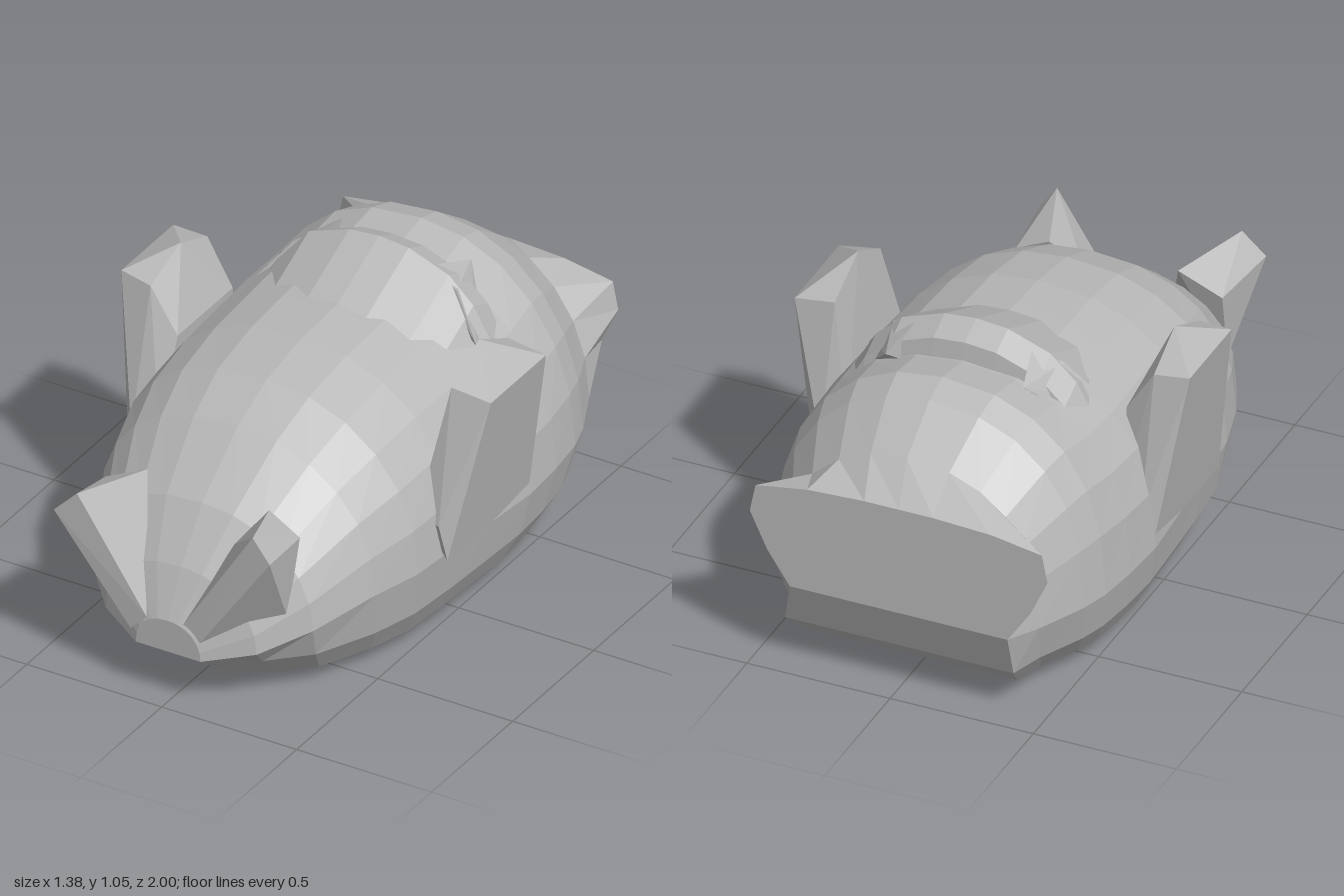
import * as THREE from 'three';
import { ConvexGeometry } from 'three/addons/geometries/ConvexGeometry.js';

const grey = new THREE.MeshStandardMaterial({ color: 0xb8b8b8 });
grey.name = 'plain grey';

// Joins closed rings of equal point count into a faceted solid with capped ends.
function loft(rings) {
  const n = rings[0].length;
  const index = [];
  const quad = (a, b, c, d) => {
    if (a !== b && b !== c && a !== c) index.push(a, b, c);
    if (a !== c && c !== d && a !== d) index.push(a, c, d);
  };
  for (let i = 0; i < rings.length - 1; i++) {
    for (let j = 0; j < n; j++) {
      const k = (j + 1) % n;
      quad(i * n + j, (i + 1) * n + j, (i + 1) * n + k, i * n + k);
    }
  }
  const last = (rings.length - 1) * n;
  for (let j = 0; j < n / 2; j++) {
    const a = j, b = j + 1, c = (n - j - 1) % n, d = (n - j) % n;
    quad(a, b, c, d);
    quad(last + d, last + c, last + b, last + a);
  }
  const geometry = new THREE.BufferGeometry();
  geometry.setAttribute('position', new THREE.Float32BufferAttribute(rings.flat(2), 3));
  geometry.setIndex(index);
  const flat = geometry.toNonIndexed();
  flat.computeVertexNormals();
  return flat;
}

function addMesh(group, name, geometry) {
  const mesh = new THREE.Mesh(geometry, grey);
  mesh.name = name;
  group.add(mesh);
}

// Adds a convex faceted part; side is 1 for left (+x), -1 for right.
function addFaceted(group, name, side, points) {
  const corners = points.map(([x, y, z]) => new THREE.Vector3(x * side, y, z));
  addMesh(group, name, new ConvexGeometry(corners));
}

// Body stations from nose to tail: z, half width, height of widest line, top
const stations = [
  [0.96, 0.12, 0.185, 0.30], [0.88, 0.28, 0.22, 0.46], [0.75, 0.41, 0.28, 0.63],
  [0.53, 0.51, 0.33, 0.80], [0.35, 0.56, 0.33, 0.88], [0.13, 0.58, 0.33, 0.92],
  [-0.06, 0.59, 0.32, 0.93], [-0.28, 0.60, 0.31, 0.94], [-0.45, 0.59, 0.31, 0.95],
  [-0.60, 0.57, 0.31, 0.98], [-0.70, 0.54, 0.31, 0.95], [-0.87, 0.46, 0.31, 0.83],
  [-1.00, 0.42, 0.33, 0.72],
];
// Underside levels: y, z scale, width scale
const levels = [[0, 0.63, 0.64], [0.06, 0.82, 0.86], [0.16, 0.93, 0.95]];
// Flared upper outline of the flat tail face
const tail = [[0.38, 0.33], [0.46, 0.45], [0.52, 0.58], [0.50, 0.68], [0.32, 0.71], [0.12, 0.72], [0, 0.72]];

// One side of a body section, from the underside up to the crown
function halfRing([z, w, yb, top], isTail, side) {
  const power = side > 0 ? 0.95 : 0.84;
  const points = levels.map(([y, sz, sw]) => [side * w * sw, y, z * sz]);
  for (let j = 0; j <= 6; j++) {
    const a = (j / 6) * Math.PI / 2;
    const x = j === 6 ? 0 : side * w * Math.pow(Math.cos(a), power);
    const y = yb + (top - yb) * Math.pow(Math.sin(a), power);
    points.push(isTail ? [side * tail[j][0] - 0.03, tail[j][1], z] : [x, y, z]);
  }
  return points;
}

function bodyRing(station, i) {
  const isTail = i === stations.length - 1;
  const right = halfRing(station, isTail, -1).slice(0, -1).reverse();
  return [[0, 0, station[0] * levels[0][1]], ...halfRing(station, isTail, 1), ...right];
}

export function createModel() {
  const model = new THREE.Group();
  model.name = 'roundedBody';

  addMesh(model, 'body', loft(stations.map(bodyRing)));

  // Back crest: a long slope rising to a narrow arched ledge
  const arch = [[0.43, 0.76], [0.35, 0.90], [0.26, 0.985], [0.11, 1.04], [0, 1.05]];
  const fullArch = [...arch.map(([x, y]) => [-x, y]), ...arch.slice(0, -1).reverse()];
  addMesh(model, 'backCrest', loft(fullArch.map(([x, y]) => [
    [x, y - 0.15, -0.45], [x, y - 0.13, -0.06], [x, y, -0.34], [x, y - 0.04, -0.43],
  ])));

  // Pointed corners of the crest
  for (const [name, side] of [['left', 1], ['right', -1]]) {
    addFaceted(model, name + 'CrestSpike', side, [
      [0.20, 1.00, -0.35], [0.24, 0.95, -0.51], [0.41, 0.81, -0.26],
      [0.30, 0.95, -0.32], [0.37, 0.80, -0.37], [0.20, 0.85, -0.38],
    ]);
  }

  // Upright side fins, wide at the base; the right one leans further inward
  const fin = [
    [0.59, 0.32, 0.22], [0.59, 0.32, -0.28], [0.57, 0.45, 0.24], [0.56, 0.42, -0.31],
    [0.48, 0.47, 0.22], [0.48, 0.47, -0.28],
  ];
  addFaceted(model, 'leftSideFin', 1, [
    ...fin, [0.685, 0.88, 0.11], [0.685, 0.88, -0.23], [0.545, 0.90, 0.12],
    [0.545, 0.90, -0.23], [0.545, 0.99, -0.05],
  ]);
  addFaceted(model, 'rightSideFin', -1, [
    ...fin, [0.69, 0.935, 0.10], [0.69, 0.935, -0.22], [0.57, 0.925, 0.12],
    [0.57, 0.925, -0.23], [0.56, 1.00, -0.05], [0.47, 0.77, 0.12], [0.47, 0.77, -0.22],
  ]);

  // Spread wedges either side of the nose
  addFaceted(model, 'leftNoseWedge', 1, [
    [0.37, 0.62, 0.95], [0.31, 0.705, 0.955], [0.04, 0.28, 0.955], [0.10, 0.23, 0.955],
    [0.35, 0.60, 0.73], [0.23, 0.66, 0.72], [0.15, 0.55, 0.80], [0.34, 0.33, 0.79],
  ]);
  addFaceted(model, 'rightNoseWedge', -1, [
    [0.40, 0.61, 1.00], [0.32, 0.69, 0.99], [0.08, 0.29, 0.96], [0.14, 0.23, 0.96],
    [0.37, 0.60, 0.73], [0.22, 0.67, 0.72], [0.36, 0.34, 0.79], [0.26, 0.29, 0.85],
  ]);

  return model;
}
